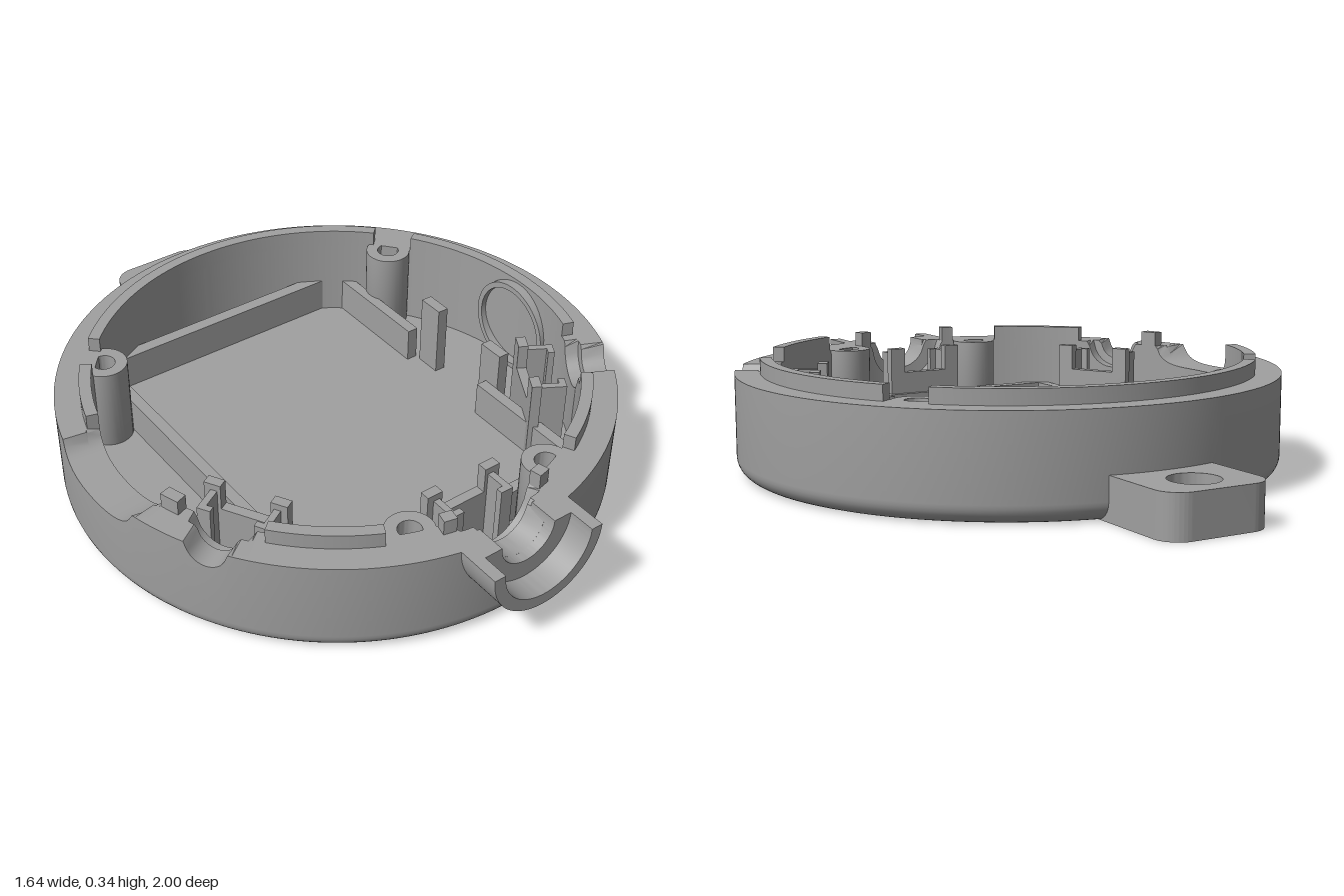
import * as THREE from 'three';
import { toCreasedNormals } from 'three/addons/utils/BufferGeometryUtils.js';

const CZ = 0.07, R = 0.82, RIM = 0.3, FLOOR = 0.04;
const plastic = new THREE.MeshStandardMaterial({ color: 0xa0a0a0 });
plastic.name = 'grey plastic';

function add(parent, name, geometry, x = 0, y = 0, z = 0) {
  const mesh = new THREE.Mesh(toCreasedNormals(geometry, 0.6), plastic);
  mesh.name = name;
  mesh.position.set(x, y, z);
  parent.add(mesh);
  return mesh;
}

// Box given by its limits
function box(parent, name, x0, x1, y0, y1, z0, z1) {
  return add(parent, name, new THREE.BoxGeometry(x1 - x0, y1 - y0, z1 - z0),
    (x0 + x1) / 2, (y0 + y1) / 2, (z0 + z1) / 2);
}

const extrude = (shape, depth) =>
  new THREE.ExtrudeGeometry(shape, { depth, bevelEnabled: false, curveSegments: 32 });

// Plan shape (x, -z) raised upwards
const slab = (shape, height) => extrude(shape, height).rotateX(-Math.PI / 2);

function hole(shape, x, y, r) {
  const path = new THREE.Path();
  path.absarc(x, y, r, 0, Math.PI * 2, true);
  shape.holes.push(path);
}

// Plan shape of a ring sector, angles in degrees from +x towards +z
function sector(r0, r1, from, to) {
  const a = -to * Math.PI / 180, b = -from * Math.PI / 180;
  const s = new THREE.Shape();
  s.absarc(0, 0, r1, a, b, false);
  s.absarc(0, 0, r0, b, a, true);
  return s;
}

// Lower half of a pipe, open at the top, running along z
function halfPipe(outer, inner, length) {
  const s = new THREE.Shape();
  s.absarc(0, 0, outer, Math.PI, Math.PI * 2, false);
  s.absarc(0, 0, inner, Math.PI * 2, Math.PI, true);
  return extrude(s, length);
}

// Height of the rim at a point, lowered where openings pass through the wall
function rimHeight(x, z) {
  let h = RIM;
  const inside = Math.hypot(x, z) < 0.75;
  for (const [deg, outerR, innerR] of [[30, 0.06, 0.085], [150, 0.06, 0.085], [90, 0.09, 0.13]]) {
    const a = deg * Math.PI / 180, c = Math.cos(a), s = Math.sin(a);
    const t = z * c - x * s, r = inside ? innerR : outerR;
    if (x * c + z * s > 0 && Math.abs(t) < r) h = Math.min(h, RIM - Math.sqrt(r * r - t * t));
  }
  if (x < 0 && Math.abs(z) < 0.185) h = RIM - 0.06 * Math.sqrt(1 - (z / 0.185) ** 4);
  return h;
}

function wallGeometry() {
  const profile = [];
  for (let i = 0; i <= 8; i++) {
    const a = i / 8 * Math.PI / 2;
    profile.push(new THREE.Vector2(R - 0.055 + 0.055 * Math.sin(a), 0.055 - 0.055 * Math.cos(a)));
  }
  for (const [r, y] of [[R, RIM], [0.751, RIM], [0.749, RIM], [0.71, RIM], [0.71, 0.02]])
    profile.push(new THREE.Vector2(r, y));
  const g = new THREE.LatheGeometry(profile, 480);
  const p = g.attributes.position;
  for (let i = 0; i < p.count; i++)
    if (p.getY(i) > 0.29) p.setY(i, rimHeight(p.getX(i), p.getZ(i)));
  return g;
}

// Stepped holder behind each cable opening; local +z points outwards
function cableHolder(parent, name, angle) {
  const g = new THREE.Group();
  g.name = name;
  g.position.z = CZ;
  g.rotation.y = angle;
  box(g, 'holderPlate', -0.125, 0.125, 0.03, 0.22, 0.56, 0.59);
  for (const s of [-1, 1]) {
    const b = (n, a, c, ...rest) => box(g, n, Math.min(s * a, s * c), Math.max(s * a, s * c), ...rest);
    b('holderTooth', 0.075, 0.125, 0.215, 0.3, 0.56, 0.59);
    b('holderSide', 0.085, 0.105, 0.03, 0.28, 0.585, 0.67);
    b('holderRearTooth', 0.065, 0.105, 0.03, 0.28, 0.65, 0.67);
  }
  parent.add(g);
}

export function createModel() {
  const model = new THREE.Group();
  model.name = 'roundEnclosureBase';
  const bosses = [[-0.53, -0.37], [0.53, -0.37], [-0.237, 0.725], [0.237, 0.725]];

  // Round shell
  add(model, 'outerWall', wallGeometry(), 0, 0, CZ);
  const floor = new THREE.Shape();
  floor.absarc(0, 0, R - 0.055, 0, Math.PI * 2, false);
  for (const [x, z] of bosses) hole(floor, x, CZ - z, 0.06);
  const floorGeometry = new THREE.ExtrudeGeometry(floor, { depth: FLOOR, bevelEnabled: false, curveSegments: 120 });
  add(model, 'floor', floorGeometry.rotateX(-Math.PI / 2), 0, 0, CZ);

  // Raised locating lip, broken at bosses and openings
  for (const [a, b] of [[-136, -44], [-34, 20.5], [40, 64], [76, 79], [101, 104], [116, 140],
    [159.5, 164], [195, 214]])
    add(model, 'lip', slab(sector(0.71, 0.745, a, b), 0.055), 0, 0.29, CZ);

  // Screw bosses, counterbored from below
  const bossProfile = [[0.06, 0], [0.07, 0.02], [0.07, 0.3], [0.034, 0.3], [0.034, 0.2], [0.06, 0.2], [0.06, 0]]
    .map(([r, y]) => new THREE.Vector2(r, y));
  for (const [x, z] of bosses)
    add(model, 'screwBoss', new THREE.LatheGeometry(bossProfile, 40), x, 0, z);

  // Hanging tab
  const tab = new THREE.Shape();
  tab.moveTo(-0.165, 0.68);
  tab.lineTo(0.165, 0.68);
  tab.absarc(0.095, 0.93, 0.07, 0, Math.PI / 2, false);
  tab.absarc(-0.095, 0.93, 0.07, Math.PI / 2, Math.PI, false);
  hole(tab, 0, 0.875, 0.072);
  add(model, 'hangingTab', slab(tab, 0.125));

  // Cable spout with a wider mouth
  add(model, 'spoutNeck', halfPipe(0.183, 0.09, 0.09), 0, RIM, 0.83);
  add(model, 'spoutMouth', halfPipe(0.183, 0.147, 0.08), 0, RIM, 0.92);

  // Rectangular tray, open in the middle of its +x side
  const top = 0.15;
  box(model, 'trayBack', -0.47, 0.47, 0.03, top, -0.57, -0.53);
  box(model, 'trayFront', -0.47, 0.47, 0.03, top, 0.615, 0.65);
  box(model, 'traySide', -0.47, -0.435, 0.03, top, -0.53, 0.615);
  box(model, 'traySide', 0.435, 0.47, 0.03, top, -0.53, -0.13);
  box(model, 'traySide', 0.435, 0.47, 0.03, top, 0.21, 0.615);
  for (const z of [-0.07, 0.22])
    box(model, 'clipPost', 0.47, 0.505, 0.03, 0.27, z - 0.042, z + 0.042);

  // Cable holders
  cableHolder(model, 'rightCableHolder', -Math.PI / 3);
  cableHolder(model, 'leftCableHolder', Math.PI / 3);
  cableHolder(model, 'frontCableHolder', 0);

  // Round seat on the inner wall
  const seat = new THREE.Shape();
  seat.absarc(0, 0, 0.15, 0, Math.PI * 2, false);
  hole(seat, 0, 0, 0.132);
  add(model, 'roundSeat', extrude(seat, 0.035).rotateY(Math.PI / 2), 0.68, 0.185, CZ);

  return model;
}
